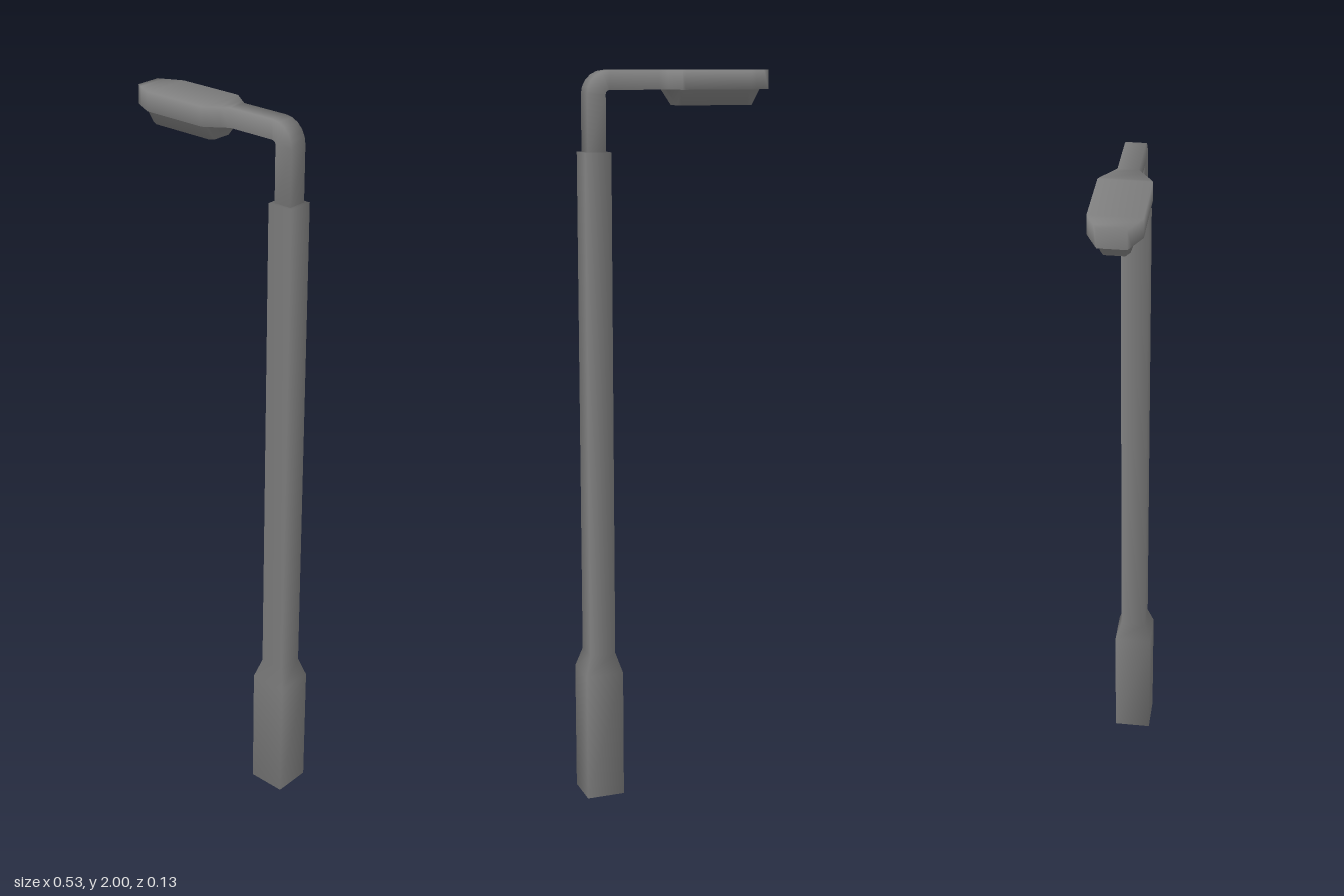
import * as THREE from 'three';

const POLE_X = 0.212;

// Skins a list of equal-length rings (arrays of [x, y, z]) and caps both ends.
// Each ring mirrors point i onto point n - 1 - i, so caps are strips of quads.
function loft(name, rings) {
  const n = rings[0].length;
  const faces = [], otherDiagonal = [];
  const quad = (a, b, c, d) => {
    faces.push(a, b, c, a, c, d);
    otherDiagonal.push(a, b, d, b, c, d);
  };
  for (let r = 0; r < rings.length - 1; r++) {
    for (let i = 0; i < n; i++) {
      const a = r * n + i, b = r * n + (i + 1) % n;
      quad(a, b, b + n, a + n);
    }
  }
  const last = (rings.length - 1) * n;
  for (let i = 0; i < n / 2 - 1; i++) {
    quad(n - 1 - i, n - 2 - i, i + 1, i);
    quad(last + i, last + i + 1, last + n - 2 - i, last + n - 1 - i);
  }
  const geometry = new THREE.BufferGeometry();
  geometry.setAttribute('position', new THREE.Float32BufferAttribute(rings.flat(2), 3));
  // Both diagonals count towards the normals, which keeps the shading symmetric
  geometry.setIndex([...faces, ...otherDiagonal]);
  geometry.computeVertexNormals();
  geometry.setIndex(faces);
  const mesh = new THREE.Mesh(geometry, new THREE.MeshStandardMaterial({ color: 0x808080 }));
  mesh.name = name;
  return mesh;
}

// Horizontal square ring around the pole axis.
const square = (h, y) => [[1, 1], [1, -1], [-1, -1], [-1, 1]].map(([x, z]) => [POLE_X + x * h, y, z * h]);

// Cross-section of arm and head as [height, z]: a flat bar with a panel hanging below it.
function bar(top, bottom, half, panelTop, panelBottom, drop) {
  const side = [[top, half], [bottom, half], [bottom, panelTop], [bottom - drop, panelBottom]];
  return [...side.map(([h, z]) => [h, -z]), ...side.reverse()];
}

export function createModel() {
  const group = new THREE.Group();
  group.name = 'streetLamp';

  // Square pole with a wider foot
  group.add(loft('pole', [
    square(0.053, 0), square(0.053, 0.36), square(0.036, 0.415), square(0.036, 1.79),
  ]));

  // Square tube rising from the pole and bending sideways
  const inner = 0.011, outer = 0.062, half = 0.026;
  const cx = POLE_X + half - outer, cy = 2 - outer;
  const bend = (angle, y) => bar(outer, inner, half, 0.017, 0.009, 0).map(
    ([r, z]) => [cx + r * Math.cos(angle), y + r * Math.sin(angle), z]);
  const rings = [bend(0, 1.78)];
  for (let i = 0; i <= 5; i++) rings.push(bend(i / 5 * Math.PI / 2, cy));

  // Lamp head in one piece with the arm: x, half width, panel half widths, panel depth
  const head = [
    [0.04, 0.026, 0.017, 0.009, 0],
    [0.02, 0.04, 0.026, 0.016, 0],
    [-0.012, 0.063, 0.046, 0.026, 0.041],
    [-0.02, 0.067, 0.05, 0.036, 0.041],
    [-0.205, 0.067, 0.05, 0.036, 0.041],
    [-0.224, 0.058, 0.044, 0.026, 0.041],
    [-0.25, 0.045, 0.03, 0.018, 0],
    [-0.268, 0.036, 0.024, 0.012, 0],
  ];
  for (const [x, ...size] of head) {
    rings.push(bar(2, 1.949, ...size).map(([y, z]) => [x, y, z]));
  }
  group.add(loft('armAndLampHead', rings));

  return group;
}
